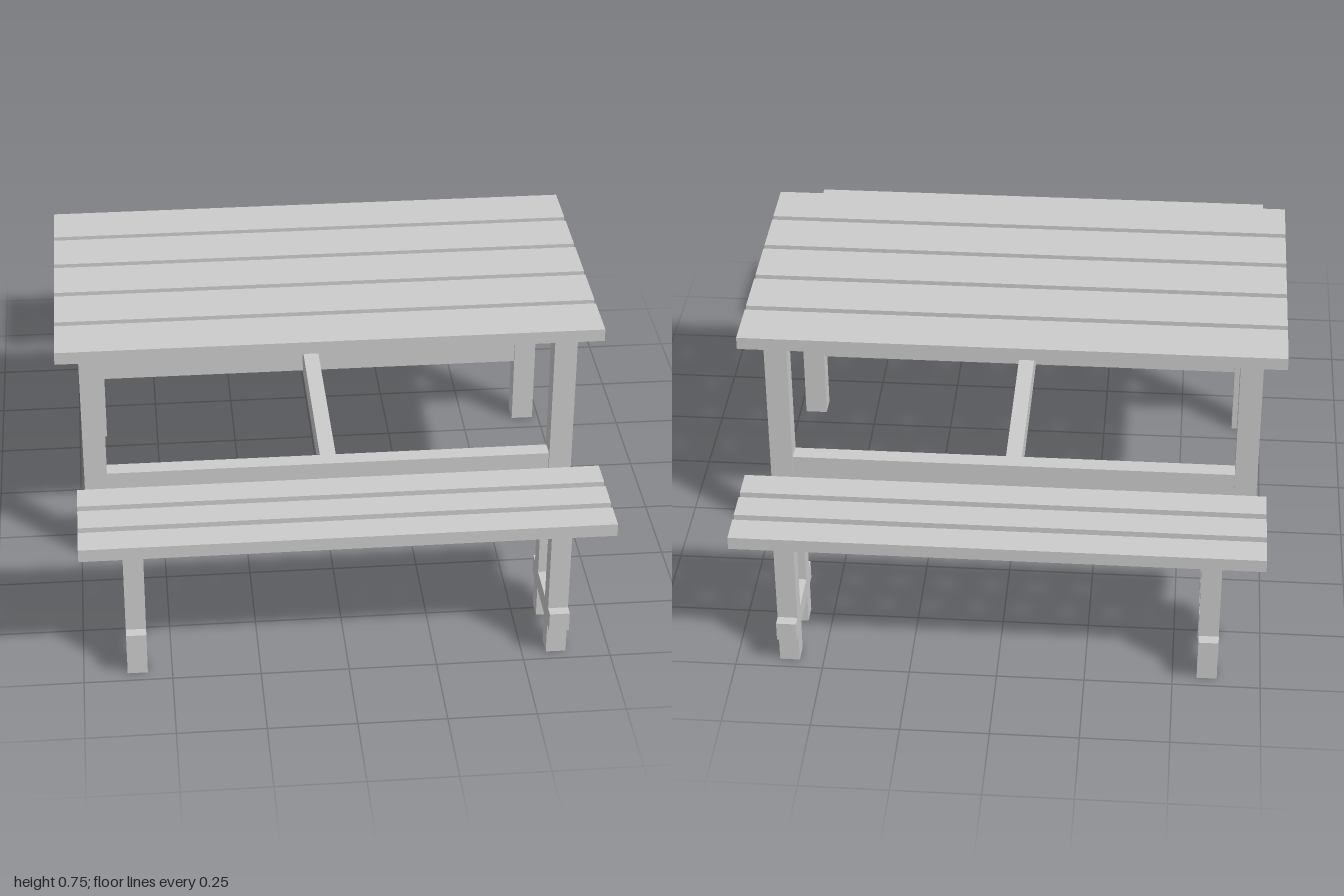
import * as THREE from 'three';

const material = new THREE.MeshStandardMaterial({ color: 0xcccccc, flatShading: true });

// Adds a wooden beam of the given size, centred at (x, y, z)
function beam(parent, name, [w, h, d], [x, y, z]) {
  const mesh = new THREE.Mesh(new THREE.BoxGeometry(w, h, d), material);
  mesh.name = name;
  mesh.position.set(x, y, z);
  parent.add(mesh);
}

function createTable() {
  const table = new THREE.Group();
  table.name = 'table';
  // Five top planks
  for (let i = -2; i <= 2; i++) {
    beam(table, 'tablePlank', [1.594, 0.038, 0.157], [0, 0.731, i * 0.179]);
  }
  // Legs, and a long rail between the legs of each side
  for (const side of [-1, 1]) {
    for (const end of [-1, 1]) {
      beam(table, 'tableLeg', [0.067, 0.712, 0.066], [end * 0.697, 0.356, side * 0.343]);
    }
    beam(table, 'longRail', [1.328, 0.078, 0.05], [0, 0.251, side * 0.343]);
  }
  // Cross rail joining the long rails
  beam(table, 'crossRail', [0.048, 0.078, 0.636], [0, 0.251, 0]);
  return table;
}

function createBench() {
  const bench = new THREE.Group();
  bench.name = 'bench';
  // Three seat planks
  for (let i = -1; i <= 1; i++) {
    beam(bench, 'seatPlank', [1.494, 0.038, 0.086], [0, 0.431, i * 0.109]);
  }
  // Two leg frames, each with a flush crossbar running past the legs
  for (const end of [-1, 1]) {
    for (const side of [-1, 1]) {
      beam(bench, 'benchLeg', [0.057, 0.412, 0.057], [end * 0.598, 0.206, side * 0.09]);
    }
    beam(bench, 'benchCrossbar', [0.057, 0.058, 0.298], [end * 0.598, 0.123, 0]);
  }
  return bench;
}

export function createModel() {
  const model = new THREE.Group();
  model.name = 'picnicSet';
  model.add(createTable());
  // A bench along each long side
  for (const side of [-1, 1]) {
    const bench = createBench();
    bench.position.z = side * 0.848;
    model.add(bench);
  }
  return model;
}
